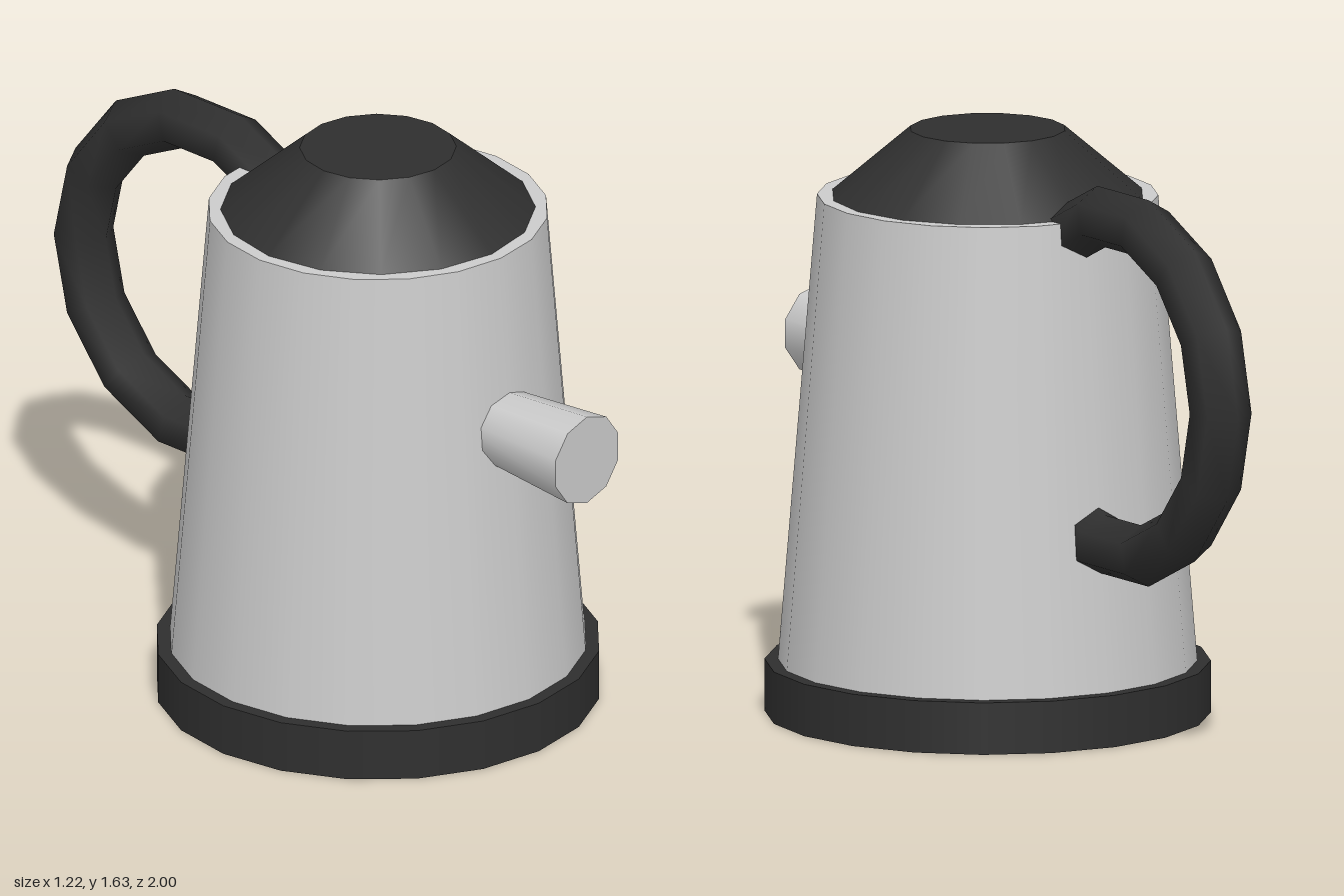
import * as THREE from 'three';

export function createModel() {
  const group = new THREE.Group();
  group.name = 'kettle';

  const steel = new THREE.MeshStandardMaterial({ color: 0xcccccc });
  steel.name = 'brushed steel';
  const black = new THREE.MeshStandardMaterial({ color: 0x2f2f2f });
  black.name = 'black plastic';

  const axisZ = 0.205; // the pot sits forward of centre, balancing the handle

  function add(name, geometry, material, y, z) {
    const mesh = new THREE.Mesh(geometry, material);
    mesh.name = name;
    mesh.position.set(0, y, z);
    group.add(mesh);
    return mesh;
  }

  // upright tapered section from y0 to y1
  function frustum(name, rTop, rBottom, y0, y1, sides, material) {
    const geometry = new THREE.CylinderGeometry(rTop, rBottom, y1 - y0, sides);
    return add(name, geometry, material, (y0 + y1) / 2, axisZ);
  }

  frustum('base', 0.612, 0.612, 0, 0.145, 20, black);
  frustum('body', 0.468, 0.575, 0.145, 1.445, 20, steel);
  frustum('lid', 0.215, 0.432, 1.445, 1.63, 16, black);

  // spout, widening toward its mouth
  const spout = new THREE.CylinderGeometry(0.13, 0.097, 0.45, 10);
  spout.rotateX(Math.PI / 2);
  add('spout', spout, steel, 0.94, 0.775);

  // hexagonal ring handle, both ends buried in the body
  const step = (Math.PI * 2) / 14;
  const arc = step * 10;
  const handle = new THREE.TorusGeometry(0.469, 0.085, 6, 10, arc);
  handle.rotateZ(-arc / 2);
  handle.rotateY(Math.PI / 2);
  add('handle', handle, black, 1.015, -0.446);

  return group;
}
